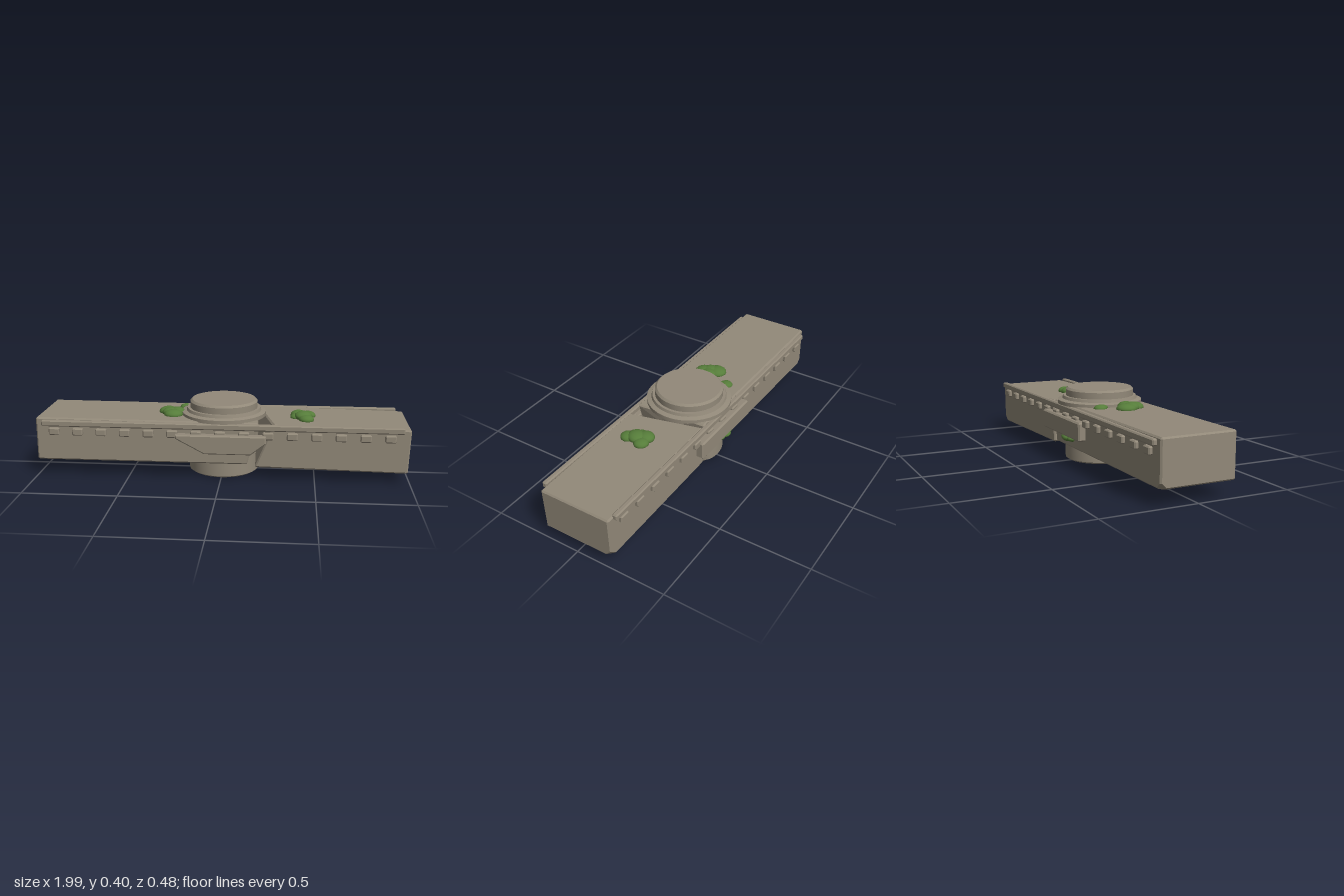
import * as THREE from 'three';
import { toCreasedNormals } from 'three/addons/utils/BufferGeometryUtils.js';
import { ConvexGeometry } from 'three/addons/geometries/ConvexGeometry.js';

const stone = new THREE.MeshStandardMaterial({ color: 0x928979 });
stone.name = 'weathered stone';
const moss = new THREE.MeshStandardMaterial({ color: 0x567d3a });
moss.name = 'moss green';

function add(parent, name, geometry, material = stone) {
  const mesh = new THREE.Mesh(geometry, material);
  mesh.name = name;
  parent.add(mesh);
  return mesh;
}

// Chamfered block; warp bends its points, chip(sx, sy, sz) widens a broken corner
function block(min, max, bevel, warp = (p) => p, chip = () => 0) {
  const points = [];
  for (const sx of [-1, 1]) for (const sy of [-1, 1]) for (const sz of [-1, 1]) {
    const s = [sx, sy, sz];
    const cut = chip(sx, sy, sz);
    for (let axis = 0; axis < 3; axis++) {
      const c = s.map((side, i) => {
        const inset = cut ? (i === axis ? cut : bevel) : (i === axis ? 0 : bevel);
        return side > 0 ? max[i] - inset : min[i] + inset;
      });
      // a chipped corner keeps points on its three edges only
      if (cut) {
        const o = (axis + 1) % 3;
        c[o] = s[o] > 0 ? max[o] : min[o];
        points.push(warp(new THREE.Vector3(...c)));
        const q = (axis + 2) % 3;
        c[o] += -s[o] * bevel;
        c[q] = s[q] > 0 ? max[q] : min[q];
      }
      points.push(warp(new THREE.Vector3(...c)));
    }
  }
  return new ConvexGeometry(points);
}

export function createModel() {
  const model = new THREE.Group();
  model.name = 'stoneLintel';

  // Two beam halves, broken apart beside the drum; the second sags slightly
  add(model, 'rightBeam', block([-1, 0.086, -0.2], [0.14, 0.322, 0.2], 0.008, (p) => {
    const t = (p.x + 1) / 1.14, h = (p.y - 0.086) / 0.236, f = (p.z + 0.2) / 0.4;
    p.x += t * h * (0.03 + 0.03 * f);
    p.y -= t * 0.006 * h;
    return p;
  }, (x, y, z) => (x < 0 && y < 0 && z < 0 ? 0.03 : 0)));

  add(model, 'leftBeam', block([0.17, 0.072, -0.2], [0.995, 0.31, 0.2], 0.008, (p) => {
    const t = (p.x - 0.17) / 0.825, h = (p.y - 0.072) / 0.238, f = (p.z + 0.2) / 0.4;
    p.x += (1 - t) * (0.01 * f + h * (0.01 + 0.09 * f)) - t * (1 - h) * 0.008;
    p.y -= t * 0.014;
    return p;
  }, (x, y, z) => (x > 0 && y < 0 && z < 0 ? 0.035 : 0)));

  // Round boss running through the beam, with a flange and raised cap
  const profile = [
    [0, 0.002], [0.175, 0.002], [0.19, 0.012], [0.19, 0.06], [0.19, 0.12], [0.19, 0.295],
    [0.205, 0.308], [0.23, 0.313], [0.23, 0.333], [0.205, 0.34], [0.2, 0.355],
    [0.185, 0.355], [0.185, 0.389], [0.174, 0.4], [0, 0.4],
  ].map(([x, y]) => new THREE.Vector2(x, y));
  const drum = new THREE.LatheGeometry(profile, 48);
  // Broken flat on the lower rear edge
  const n = new THREE.Vector3(0.65, -0.2, -0.73).normalize();
  const pos = drum.attributes.position;
  const v = new THREE.Vector3();
  for (let i = 0; i < pos.count; i++) {
    v.fromBufferAttribute(pos, i);
    const over = v.dot(n) - 0.172;
    if (v.y < 0.2 && over > 0) {
      v.x -= n.x * over;
      v.z -= n.z * over;
      pos.setXYZ(i, v.x, v.y, v.z);
    }
  }
  add(model, 'drum', toCreasedNormals(drum, 0.4));

  // Rails and rows of dentils along both long sides
  const rail = block([-0.965, 0.278, -0.014], [0.957, 0.311, 0.014], 0.006);
  const dentil = block([-0.029, -0.02, -0.013], [0.029, 0.02, 0.013], 0.006);
  for (const side of [-1, 1]) {
    const name = side > 0 ? 'front' : 'back';
    add(model, name + 'Rail', rail).position.z = side * 0.208;
    for (let i = 0; i < 15; i++) {
      add(model, name + 'Dentil', dentil).position.set(-0.898 + i * 0.1275, 0.249, side * 0.206);
    }
  }

  // Back plaque, whole
  add(model, 'backPlaque', block([-0.24, 0.153, -0.24], [0.24, 0.254, -0.19], 0.008));

  // Front plaque, its lower corners broken off
  const b = 0.006;
  const shape = new THREE.Shape([
    [-0.234, 0.247], [-0.234, 0.236], [-0.085, 0.157], [0.157, 0.157], [0.234, 0.217], [0.234, 0.247],
  ].reverse().map(([x, y]) => new THREE.Vector2(x, y)));
  const plaque = new THREE.ExtrudeGeometry(shape, {
    depth: 0.04, bevelEnabled: true, bevelSize: b, bevelThickness: b, bevelSegments: 1,
  });
  add(model, 'frontPlaque', plaque.translate(0, 0, 0.196));

  // Moss clumps: [x, y, z, radius] for each lobe
  const clumps = {
    rightMoss: [[-0.305, 0.322, 0.005, 0.052], [-0.27, 0.322, 0.07, 0.05],
      [-0.255, 0.325, 0.03, 0.045], [-0.29, 0.325, 0.04, 0.045]],
    smallMoss: [[-0.222, 0.318, -0.105, 0.034], [-0.205, 0.32, -0.08, 0.026]],
    leftMoss: [[0.41, 0.315, 0.0, 0.045], [0.46, 0.312, -0.005, 0.04],
      [0.435, 0.32, 0.04, 0.048], [0.45, 0.312, 0.082, 0.04], [0.4, 0.31, 0.03, 0.035]],
    backMoss: [[-0.04, 0.14, -0.205, 0.035], [0.0, 0.138, -0.2, 0.03], [-0.075, 0.138, -0.2, 0.028]],
  };
  for (const [name, lobes] of Object.entries(clumps)) {
    const group = new THREE.Group();
    group.name = name;
    model.add(group);
    const lobe = new THREE.IcosahedronGeometry(1, 2);
    lobes.forEach(([x, y, z, r], i) => {
      const mesh = add(group, 'mossLobe', lobe, moss);
      mesh.position.set(x, y, z);
      mesh.scale.set(r, Math.min(r * 0.6, 0.027), r * 1.05);
      mesh.rotation.y = i * 1.3;
    });
  }
  return model;
}
